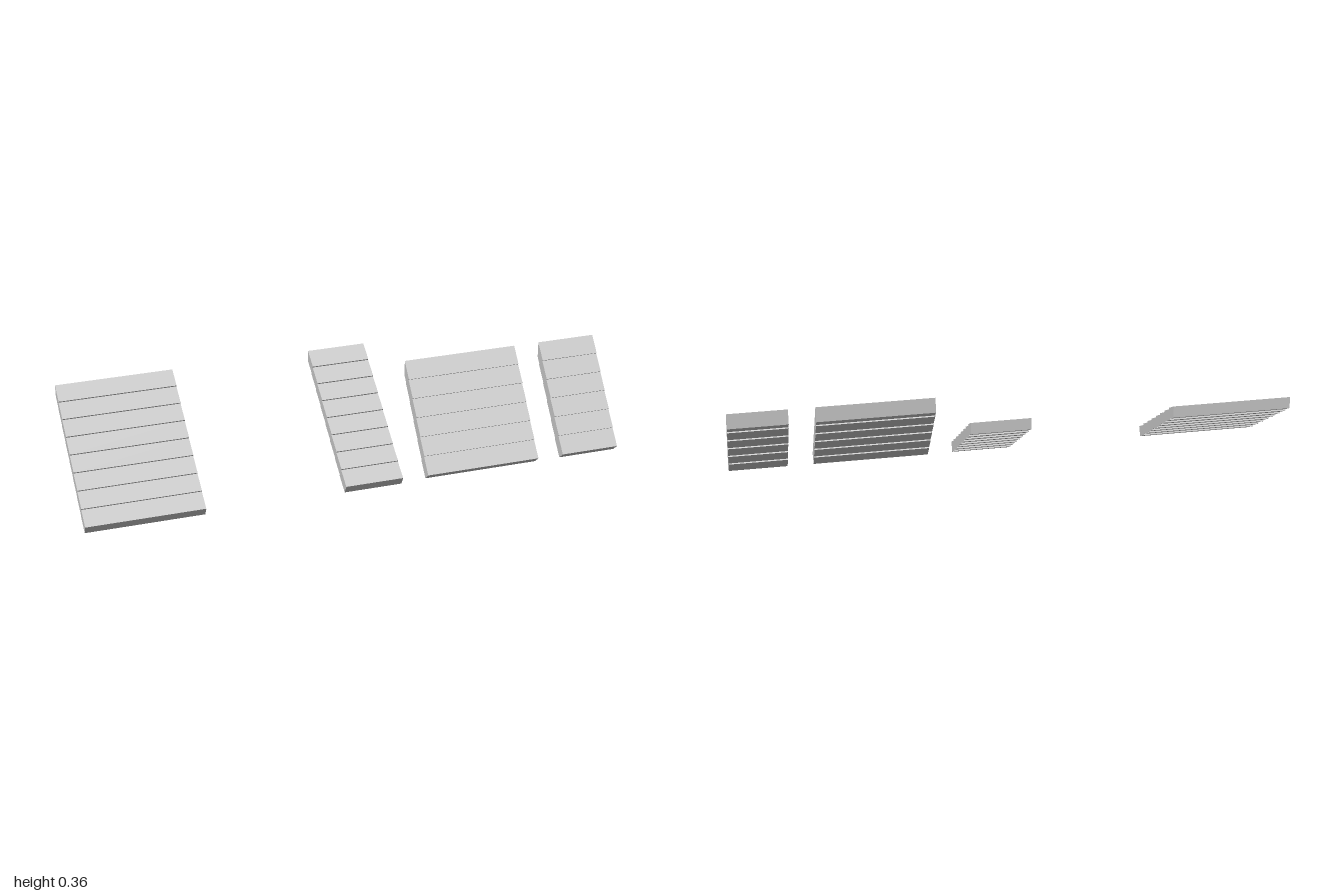
import * as THREE from 'three';

// Side profile of a pitched slab with stepped courses (profile x runs towards the back)
function steppedProfile({ pitch, courses, run, step, thick, frontX, frontY }) {
  const a = THREE.MathUtils.degToRad(pitch);
  const along = new THREE.Vector2(Math.cos(a), Math.sin(a));
  const normal = new THREE.Vector2(-along.y, along.x);
  const top = [], bottom = [];
  for (let i = 0; i < courses; i++) {
    const start = new THREE.Vector2(frontX, frontY)
      .addScaledVector(along, i * run).addScaledVector(normal, i * step);
    const end = start.clone().addScaledVector(along, run);
    top.push(start, end);
    bottom.push(start.clone().addScaledVector(normal, -thick), end.clone().addScaledVector(normal, -thick));
  }
  // The upper end is cut plumb
  const ridge = top[top.length - 1];
  const from = bottom[bottom.length - 2];
  bottom[bottom.length - 1] = new THREE.Vector2(ridge.x, from.y + (ridge.x - from.x) * Math.tan(a));
  return new THREE.Shape([...bottom, ...top.reverse()]);
}

export function createModel() {
  const group = new THREE.Group();
  const material = new THREE.MeshStandardMaterial({ color: 0xcccccc, flatShading: true });

  const shallow = steppedProfile({
    pitch: 30, courses: 8, run: 0.0715, step: 0.0055, thick: 0.039, frontX: -0.237, frontY: 0.034,
  });
  const steep = steppedProfile({
    pitch: 47, courses: 6, run: 0.072, step: 0.0046, thick: 0.041, frontX: -0.24, frontY: 0.03,
  });

  // Roof panels: name, profile, left and right extents along x
  const panels = [
    ['shallowRoofWide', shallow, -1, -0.57],
    ['shallowRoofNarrow', shallow, -0.055, 0.16],
    ['steepRoofWide', steep, 0.255, 0.685],
    ['steepRoofNarrow', steep, 0.782, 1],
  ];
  for (const [name, shape, x0, x1] of panels) {
    const geometry = new THREE.ExtrudeGeometry(shape, { depth: x1 - x0, bevelEnabled: false });
    geometry.rotateY(Math.PI / 2);
    const mesh = new THREE.Mesh(geometry, material);
    mesh.name = name;
    mesh.position.x = x0;
    group.add(mesh);
  }
  return group;
}
